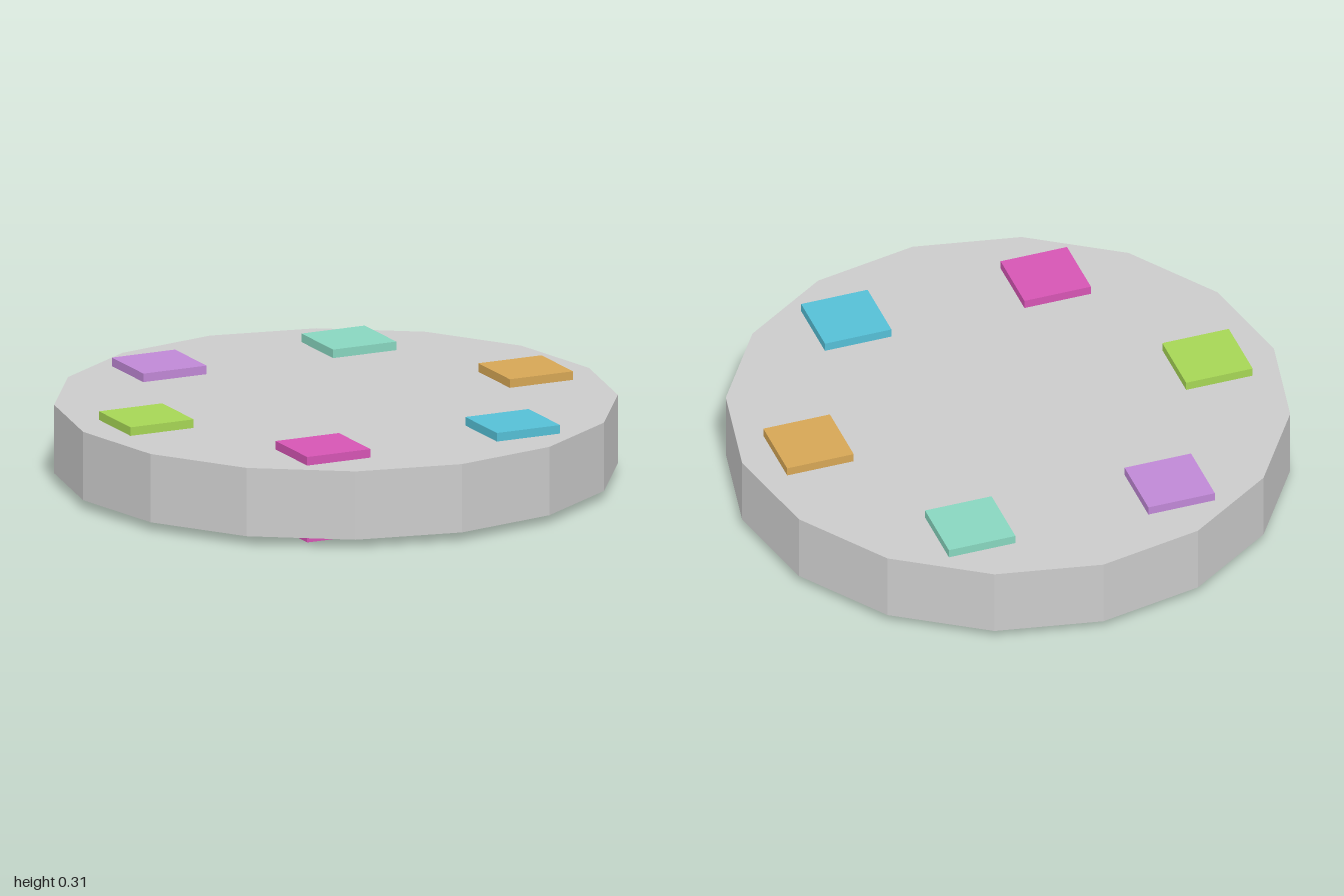
import * as THREE from 'three';

const DISC_HEIGHT = 0.25;
const PAD_SIZE = 0.25;
const PAD_HEIGHT = 0.3125;
const RING_RADIUS = 0.75;

// Pads in order around the ring, starting at +x and turning towards +z
const PADS = [
  ['orangePad', 0xd6a655],
  ['bluePad', 0x55bfd6],
  ['pinkPad', 0xd655b4],
  ['limePad', 0xa6d655],
  ['purplePad', 0xc088d6],
  ['mintPad', 0x88d6bf],
];

export function createModel() {
  const model = new THREE.Group();
  model.name = 'discWithPads';

  // Sixteen-sided disc
  const disc = new THREE.Mesh(
    new THREE.CylinderGeometry(1, 1, DISC_HEIGHT, 16),
    new THREE.MeshStandardMaterial({ color: 0xcccccc, flatShading: true })
  );
  disc.name = 'disc';
  disc.position.y = PAD_HEIGHT / 2;
  model.add(disc);

  // Square pads that pass through the disc and stand proud on both faces
  const padGeometry = new THREE.BoxGeometry(PAD_SIZE, PAD_HEIGHT, PAD_SIZE);
  PADS.forEach(([name, color], i) => {
    const angle = (i / PADS.length) * Math.PI * 2;
    const pad = new THREE.Mesh(padGeometry, new THREE.MeshStandardMaterial({ color }));
    pad.name = name;
    pad.position.set(Math.cos(angle) * RING_RADIUS, PAD_HEIGHT / 2, Math.sin(angle) * RING_RADIUS);
    model.add(pad);
  });

  return model;
}
